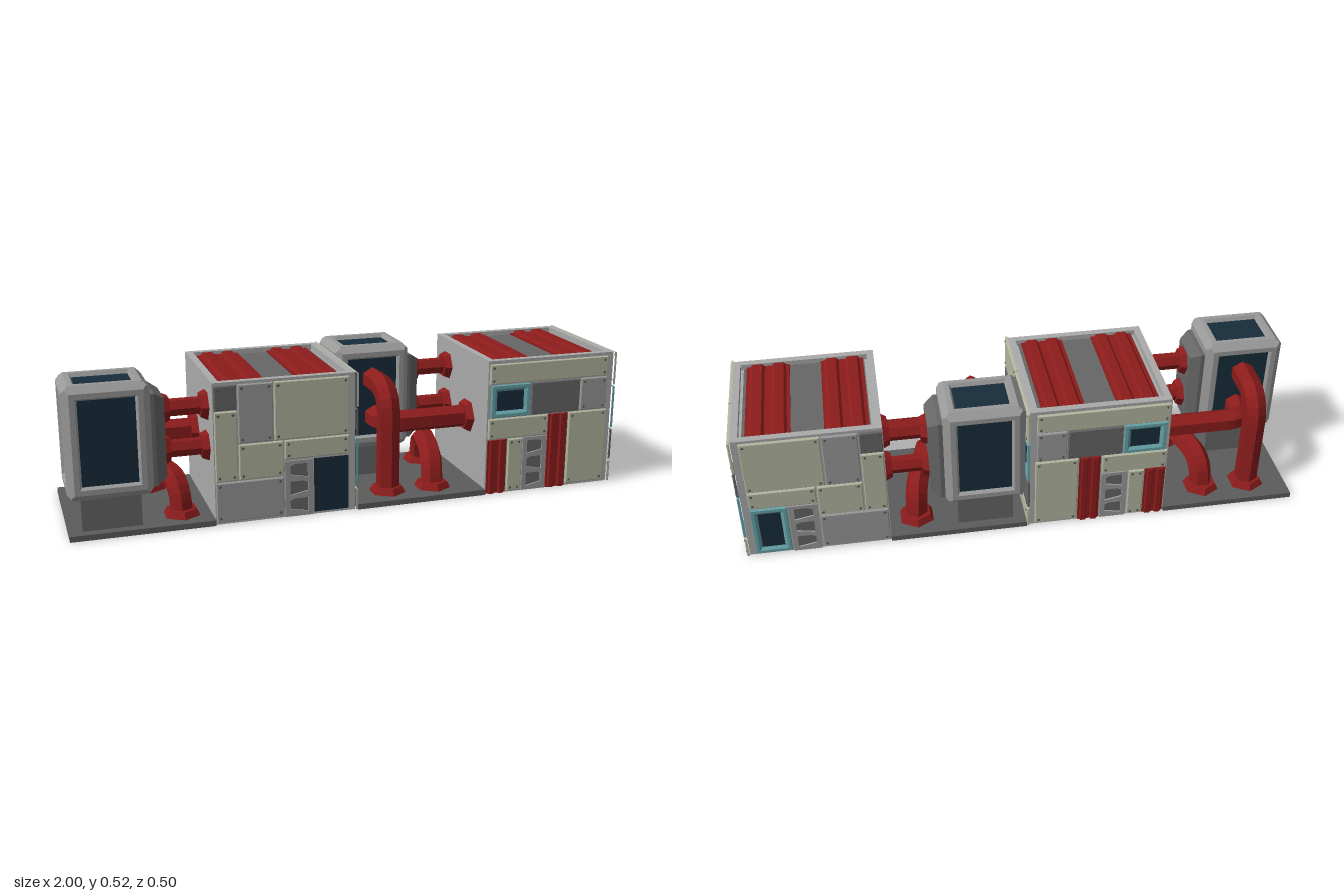
import * as THREE from 'three';
import { mergeGeometries } from 'three/addons/utils/BufferGeometryUtils.js';

const COLORS = {
  shell: 0xaaaaaa, beige: 0xb4b8a0, grey: 0x999999, dark: 0x666666,
  red: 0x8c1c1c, teal: 0x66a3a8, glass: 0x182c3a, floor: 0x5c5c5c, bolt: 0x55584e,
};
const V = (x, y, z) => new THREE.Vector3(x, y, z);

// Rectangular plate or frame: profile lists [inset, height] steps from the outside in
function plate(w, h, profile, cap = true) {
  const rings = profile.map(([i, z]) => {
    const a = w / 2 - i, b = h / 2 - i;
    return [[-a, -b, z], [a, -b, z], [a, b, z], [-a, b, z]];
  });
  const pos = [];
  const quad = (a, b, c, d) => pos.push(...a, ...b, ...c, ...a, ...c, ...d);
  for (let r = 0; r + 1 < rings.length; r++) {
    for (let j = 0; j < 4; j++) {
      const k = (j + 1) % 4;
      quad(rings[r][j], rings[r][k], rings[r + 1][k], rings[r + 1][j]);
    }
  }
  if (cap) quad(...rings[rings.length - 1]);
  const g = new THREE.BufferGeometry();
  g.setAttribute('position', new THREE.Float32BufferAttribute(pos, 3));
  return g;
}

// Turn a geometry built facing +z to face another way, then move it
const TURN = {
  front: [0, 0], back: [0, Math.PI], left: [0, Math.PI / 2], right: [0, -Math.PI / 2],
  top: [-Math.PI / 2, 0], bottom: [Math.PI / 2, 0],
};
const orient = (g, dir, x, y, z) => g.rotateX(TURN[dir][0]).rotateY(TURN[dir][1]).translate(x, y, z);
const box = (x0, x1, y0, y1, z0, z1) => new THREE.BoxGeometry(x1 - x0, y1 - y0, z1 - z0)
  .translate((x0 + x1) / 2, (y0 + y1) / 2, (z0 + z1) / 2);

// Ribbed sheet, w wide and h tall, with two raised ridges
function ribbed(w, h, t) {
  const s = new THREE.Shape();
  const pts = [[0, 0], [1, 0], [1, .4], [.92, .4], [.86, 1], [.64, 1], [.58, .4],
    [.42, .4], [.36, 1], [.14, 1], [.08, .4], [0, .4]];
  s.setFromPoints(pts.map(([x, y]) => new THREE.Vector2((x - .5) * w, y * t)));
  return new THREE.ExtrudeGeometry(s, { depth: h, bevelEnabled: false })
    .translate(0, 0, -h / 2).rotateX(Math.PI / 2);
}

// Door leaf with three slanted openings
function doorLeaf(w, h) {
  const s = new THREE.Shape([[-w / 2, -h / 2], [w / 2, -h / 2], [w / 2, h / 2], [-w / 2, h / 2]]
    .map(p => new THREE.Vector2(...p)));
  for (let i = 0; i < 3; i++) {
    const y = -h / 2 + h * (.07 + .31 * i), m = i % 2 ? -1 : 1, c = h * .25;
    const pts = [[-.32, 0], [.32, .25], [.32, .85], [.15, 1], [-.32, 1]]
      .map(([x, v]) => new THREE.Vector2(x * w * m, y + v * c));
    s.holes.push(new THREE.Path(pts));
  }
  return new THREE.ExtrudeGeometry(s, { depth: .006, bevelEnabled: false });
}

// Hexagonal pipe through points, rounding each inner corner
function pipe(points, radius, bend) {
  const path = new THREE.CurvePath();
  let from = points[0];
  for (let i = 1; i < points.length; i++) {
    const p = points[i];
    if (i === points.length - 1) { path.add(new THREE.LineCurve3(from, p)); break; }
    const a = p.clone().add(points[i - 1].clone().sub(p).setLength(bend));
    const b = p.clone().add(points[i + 1].clone().sub(p).setLength(bend));
    path.add(new THREE.LineCurve3(from, a));
    path.add(new THREE.QuadraticBezierCurve3(a, p, b));
    from = b;
  }
  return new THREE.TubeGeometry(path, points.length > 2 ? 20 : 1, radius, 6, false);
}
const flange = r => new THREE.CylinderGeometry(r * .8, r, .024, 6);

// One unit: a platform with pod and pipes, and a panelled building beside it
function createUnit(mirror) {
  const parts = {};
  const add = (name, color, g) => {
    g = g.index ? g.toNonIndexed() : g;
    g.deleteAttribute('uv');
    g.deleteAttribute('normal');
    (parts[name] ??= { color, list: [] }).list.push(g);
  };
  // Place something on a building wall given its rectangle [u0, u1, v0, v1]
  const onWall = (dir, [u0, u1, v0, v1], g, lift = 0) => {
    const u = (u0 + u1) / 2, v = (v0 + v1) / 2;
    if (dir === 'left') return orient(g, dir, .99 + lift, v, u);
    return orient(g, dir, u, v, dir === 'front' ? .24 + lift : -.24 - lift);
  };
  const panel = (dir, r, color) => {
    const w = r[1] - r[0], h = r[3] - r[2];
    add(color + 'Panels', color, onWall(dir, r, plate(w, h, [[0, 0], [0, .007], [.003, .01]])));
    for (const i of [-1, 1]) for (const j of [-1, 1]) {
      const b = new THREE.CylinderGeometry(.004, .006, .003, 6).rotateX(Math.PI / 2)
        .translate(i * (w / 2 - .013), j * (h / 2 - .013), .0105);
      add('bolts', 'bolt', onWall(dir, r, b));
    }
  };
  const windowFrame = (dir, r, plain) => {
    const w = r[1] - r[0], h = r[3] - r[2];
    if (!plain) add('windowFrames', 'teal', onWall(dir, r,
      plate(w, h, [[0, 0], [0, .008], [.002, .01], [.013, .01], [.024, .001]], false)));
    add('windowGlass', 'glass', onWall(dir, r, plate(w, h, [[plain ? 0 : .02, .0015]])));
  };
  const door = (dir, r) => {
    const w = r[1] - r[0], h = r[3] - r[2];
    add('doorBacking', 'dark', onWall(dir, r, plate(w, h, [[0, 0], [0, .001]])));
    add('doors', 'grey', onWall(dir, r, doorLeaf(w, h), .001));
  };
  const cladding = (dir, r) =>
    add('redCladding', 'red', onWall(dir, r, ribbed(r[1] - r[0], r[3] - r[2], .012)));

  // Building shell, open underneath, with a sunken roof
  add('buildingShell', 'shell', orient(plate(.5, .48, [[0, -.5], [0, 0], [.025, 0], [.025, -.022]]), 'top', .74, .5, 0));
  for (const s of [-1, 1]) add('innerLining', 'glass', box(.495, .985, .002, .47, s * .235 - .002, s * .235 + .002));
  add('roofDeck', 'dark', box(.525, .955, .478, .482, -.215, .215));
  for (const x of [.605, .868]) add('roofCladding', 'red', orient(ribbed(.152, .43, .015), 'top', x, .482, 0));

  // Front wall
  panel('front', [.495, .965, .415, .488], 'beige');
  windowFrame('front', [.503, .655, .29, .41]);
  panel('front', [.66, .855, .29, .41], 'dark');
  panel('front', [.86, .965, .29, .41], 'grey');
  panel('front', [.495, .73, .21, .285], 'beige');
  cladding('front', [.495, .57, .002, .205]);
  panel('front', [.575, .63, .005, .205], 'beige');
  door('front', [.635, .73, .002, .205]);
  cladding('front', [.735, .812, .002, .285]);
  panel('front', [.817, .97, .01, .285], 'beige');

  // Back wall
  panel('back', [.493, .57, .405, .49], 'dark');
  panel('back', [.575, .695, .285, .49], 'grey');
  panel('back', [.7, .965, .285, .49], 'beige');
  panel('back', [.493, .57, .155, .4], 'beige');
  panel('back', [.575, .73, .155, .28], 'beige');
  panel('back', [.735, .965, .213, .28], 'beige');
  panel('back', [.493, .73, .01, .15], 'grey');
  door('back', [.735, .835, .002, .205]);
  windowFrame('back', [.84, .965, .008, .205], mirror);

  // Side wall
  panel('left', [-.015, .25, .378, .5], 'beige');
  panel('left', [-.25, -.02, .378, .5], 'beige');
  windowFrame('left', [.083, .25, .213, .37]);
  panel('left', [-.118, .077, .273, .37], 'beige');
  panel('left', [-.25, -.124, .273, .37], 'dark');
  panel('left', [.083, .25, .09, .205], 'dark');
  panel('left', [-.017, .077, .09, .265], 'dark');
  windowFrame('left', [-.25, -.023, .092, .265]);
  panel('left', [.136, .25, .003, .08], 'beige');
  panel('left', [-.25, .13, .003, .08], 'beige');

  // Platform and pod pedestal
  add('platform', 'floor', box(0, .49, 0, .02, -.25, .25));
  add('podPedestal', 'dark', box(.045, .245, .02, .14, -.215, -.045));

  // Pod: chamfered frame with sunken glass
  const [px, py, pz, w, h, d, k] = [.145, .329, -.132, .286, .392, .235, .024];
  const sides = [['front', w, h, 0, 0, 1], ['back', w, h, 0, 0, -1], ['left', d, h, 1, 0, 0],
    ['right', d, h, -1, 0, 0], ['top', w, d, 0, 1, 0], ['bottom', w, d, 0, -1, 0]];
  for (const [dir, a, b, x, y, z] of sides) {
    const glazed = dir !== 'left' && dir !== 'bottom';
    const at = [dir, px + x * w / 2, py + y * h / 2, pz + z * d / 2];
    const profile = [[k / 2, -k / 2], [k, 0]];
    if (glazed) profile.push([.042, 0], [.05, -.014]);
    add('podFrame', 'grey', orient(plate(a, b, profile, !glazed), ...at));
    if (glazed) add('podGlass', 'glass', orient(plate(a, b, [[.049, -.0135]]), ...at));
  }
  add('podCoupling', 'dark', orient(plate(.18, .32, [[0, 0], [0, .015], [.022, .05]]), 'left', .287, .315, pz));

  // Pipes and their flanges
  add('pipes', 'red', pipe([V(.145, .02, .15), V(.145, .4, .15), V(.145, .4, -.03)], .042, .1));
  add('pipes', 'red', pipe([V(.155, .255, -.03), V(.155, .255, .07), V(.488, .255, .07)], .042, .06));
  add('pipes', 'red', pipe([V(.32, .02, .15), V(.325, .135, .125), V(.385, .135, -.125), V(.39, .02, -.15)], .042, .07));
  for (const [x, z] of [[.145, .15], [.32, .15], [.39, -.15]])
    add('flanges', 'red', flange(.068).translate(x, .031, z));
  add('flanges', 'red', flange(.065).rotateZ(Math.PI / 2).translate(.478, .255, .07));
  for (const y of [.4, .255]) {
    add('pipes', 'red', pipe([V(.33, y, -.135), V(.488, y, -.135)], .031, 0));
    add('flanges', 'red', flange(.055).rotateZ(-Math.PI / 2).translate(.348, y, -.135));
    add('flanges', 'red', flange(.055).rotateZ(Math.PI / 2).translate(.478, y, -.135));
  }

  const group = new THREE.Group();
  for (const [name, { color, list }] of Object.entries(parts)) {
    const g = mergeGeometries(list);
    if (mirror) {
      // Flip front to back and restore the winding
      const p = g.attributes.position, a = V(), b = V();
      g.scale(1, 1, -1);
      for (let i = 0; i < p.count; i += 3) {
        a.fromBufferAttribute(p, i + 1);
        b.fromBufferAttribute(p, i + 2);
        p.setXYZ(i + 1, b.x, b.y, b.z);
        p.setXYZ(i + 2, a.x, a.y, a.z);
      }
    }
    g.computeVertexNormals();
    const mesh = new THREE.Mesh(g, new THREE.MeshStandardMaterial({
      color: COLORS[color], flatShading: true,
      side: name === 'buildingShell' ? THREE.DoubleSide : THREE.FrontSide,
    }));
    mesh.name = name;
    group.add(mesh);
  }
  return group;
}

export function createModel() {
  const model = new THREE.Group();
  model.name = 'industrialBlocks';
  const near = createUnit(false), far = createUnit(true);
  near.name = 'leftUnit';
  far.name = 'rightUnit';
  far.position.x = -1;
  model.add(near, far);
  return model;
}
